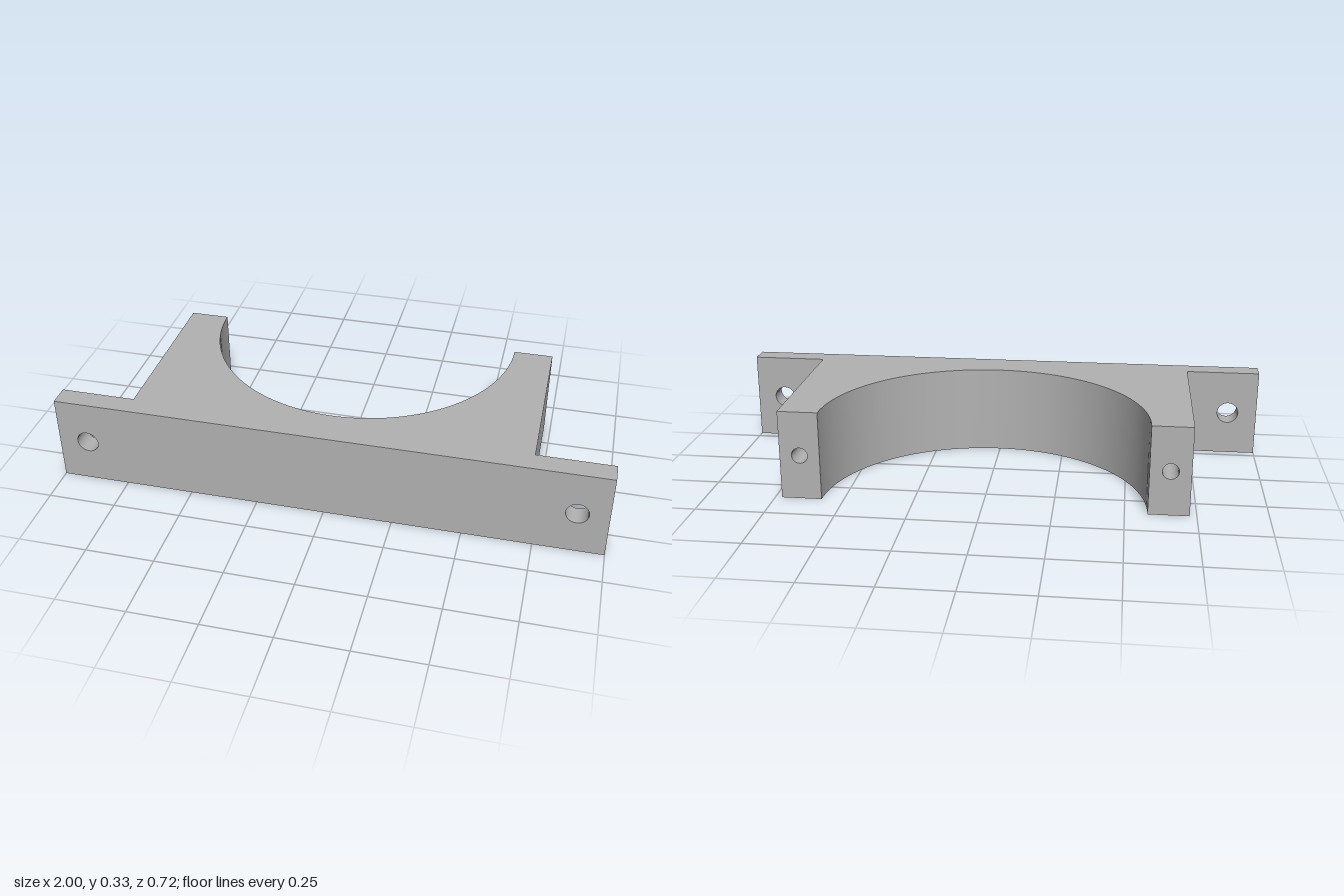
import * as THREE from 'three';

const H = 0.327;            // height
const FRONT = 0.362, BACK = -0.362, STEP = 0.283; // z of front face, leg ends, flange backs
const BODY = 0.725, R = 0.58;                     // body half width, cradle radius
const FLANGE_HOLE = { x: 0.89, r: 0.04 };
const LEG_HOLE = { x: (BODY + R) / 2, r: 0.029, depth: 0.3 };

export function createModel() {
  const group = new THREE.Group();
  const grey = new THREE.MeshStandardMaterial({ color: 0xb2b2b2, side: THREE.DoubleSide });
  grey.name = 'plain grey';

  function add(name, geometry, x = 0, y = 0, z = 0) {
    const mesh = new THREE.Mesh(geometry, grey);
    mesh.name = name;
    mesh.position.set(x, y, z);
    group.add(mesh);
  }

  // Upright rectangular face from x0 to x1, with round holes at mid height
  function panel(name, x0, x1, z, holes, facesBack) {
    const w = (x1 - x0) / 2, cx = (x0 + x1) / 2;
    const s = new THREE.Shape();
    s.moveTo(-w, -H / 2).lineTo(w, -H / 2).lineTo(w, H / 2).lineTo(-w, H / 2).closePath();
    for (const [hx, r] of holes) {
      const offset = facesBack ? cx - hx : hx - cx;
      s.holes.push(new THREE.Path().absarc(offset, 0, r, 0, Math.PI * 2, true));
    }
    const g = new THREE.ShapeGeometry(s, 16);
    if (facesBack) g.rotateY(Math.PI);
    add(name, g, cx, H / 2, z);
  }

  // Open tube lining a hole
  function bore(name, x, r, z0, z1) {
    const g = new THREE.CylinderGeometry(r, r, z1 - z0, 32, 1, true).rotateX(Math.PI / 2);
    add(name, g, x, H / 2, (z0 + z1) / 2);
  }

  // Top and bottom faces share one outline with a semicircular cradle
  const outline = new THREE.Shape();
  outline.moveTo(-1, -FRONT).lineTo(1, -FRONT).lineTo(1, -STEP).lineTo(BODY, -STEP)
    .lineTo(BODY, -BACK).lineTo(R, -BACK);
  outline.absarc(0, -BACK, R, 0, -Math.PI, true);
  outline.lineTo(-BODY, -BACK).lineTo(-BODY, -STEP).lineTo(-1, -STEP).closePath();
  const cap = new THREE.ShapeGeometry(outline, 32).rotateX(-Math.PI / 2);
  add('topFace', cap, 0, H, 0);
  add('bottomFace', cap.clone().rotateZ(Math.PI));

  // Curved cradle wall
  add('cradle', new THREE.CylinderGeometry(R, R, H, 64, 1, true, -Math.PI / 2, Math.PI), 0, H / 2, BACK);

  // Front plate
  const { x: fx, r: fr } = FLANGE_HOLE;
  panel('frontFace', -1, 1, FRONT, [[-fx, fr], [fx, fr]], false);

  for (const [side, s] of [['left', 1], ['right', -1]]) {
    const span = (a, b) => (s > 0 ? [a, b] : [-b, -a]);

    // Mounting flange with through hole
    panel(side + 'FlangeBack', ...span(BODY, 1), STEP, [[s * fx, fr]], true);
    bore(side + 'FlangeHole', s * fx, fr, STEP, FRONT);
    add(side + 'FlangeEnd', new THREE.PlaneGeometry(FRONT - STEP, H).rotateY(s * Math.PI / 2),
      s, H / 2, (FRONT + STEP) / 2);

    // Leg with blind screw hole
    const { x: lx, r: lr, depth } = LEG_HOLE;
    panel(side + 'LegEnd', ...span(R, BODY), BACK, [[s * lx, lr]], true);
    bore(side + 'LegHole', s * lx, lr, BACK, BACK + depth);
    add(side + 'LegHoleFloor', new THREE.CircleGeometry(lr, 32).rotateY(Math.PI), s * lx, H / 2, BACK + depth);
    add(side + 'BodySide', new THREE.PlaneGeometry(STEP - BACK, H).rotateY(s * Math.PI / 2),
      s * BODY, H / 2, (STEP + BACK) / 2);
  }
  return group;
}
